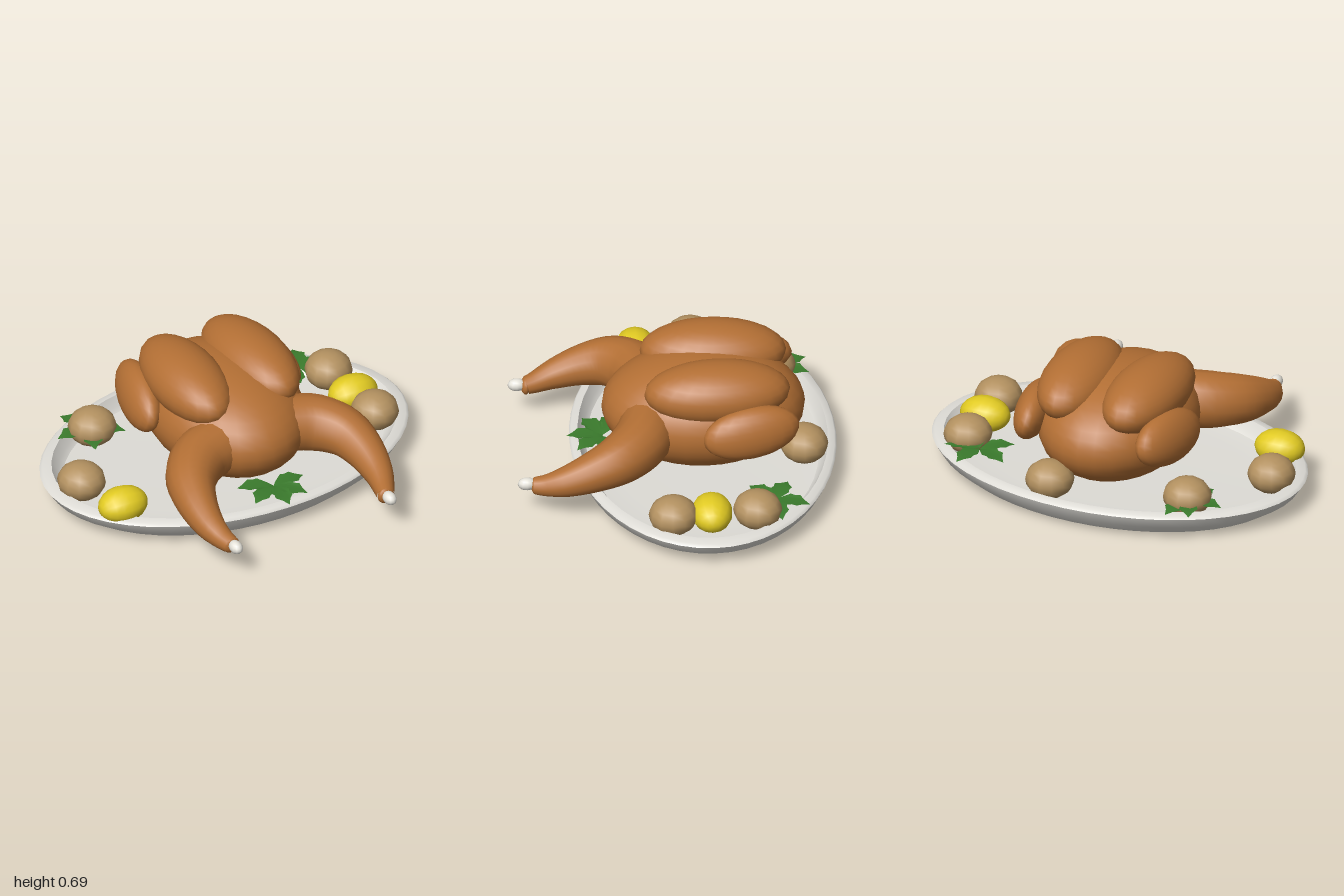
import * as THREE from 'three';

const paint = (name, color, side = THREE.FrontSide) => {
  const m = new THREE.MeshStandardMaterial({ color, side });
  m.name = name;
  return m;
};

export function createModel() {
  const skin = paint('roast skin', 0xb36f34);
  const china = paint('china', 0xdedcd6, THREE.DoubleSide);
  const potatoSkin = paint('potato', 0xb39160);
  const lemonSkin = paint('lemon', 0xe2cb22);
  const leafGreen = paint('herb green', 0x3a7a2c, THREE.DoubleSide);
  const boneWhite = paint('bone', 0xeeebe2);

  const model = new THREE.Group();
  model.name = 'roastOnPlatter';

  const add = (name, geometry, material, parent = model) => {
    const mesh = new THREE.Mesh(geometry, material);
    mesh.name = name;
    parent.add(mesh);
    return mesh;
  };
  const ellipsoid = (name, material, pos, radii, rot = [0, 0, 0], w = 20, h = 14) => {
    const mesh = add(name, new THREE.SphereGeometry(1, w, h), material);
    mesh.position.set(...pos);
    mesh.scale.set(...radii);
    mesh.rotation.set(...rot);
    return mesh;
  };

  // Oval platter: each band is its own lathe so the rim edges stay crisp
  const platter = new THREE.Group();
  platter.name = 'platter';
  platter.position.z = -0.145;
  platter.scale.z = 0.675;
  model.add(platter);
  const bands = {
    platterOutside: [[0, 0], [0.84, 0], [0.87, 0.01], [0.96, 0.07], [1, 0.13]],
    platterRim: [[1, 0.13], [0.985, 0.145], [0.935, 0.15]],
    platterWall: [[0.935, 0.15], [0.9, 0.1], [0.87, 0.08]],
    platterFloor: [[0.87, 0.08], [0.7, 0.07], [0, 0.07]],
  };
  for (const [name, pts] of Object.entries(bands)) {
    add(name, new THREE.LatheGeometry(pts.map(p => new THREE.Vector2(...p)), 48), china, platter);
  }

  // Body
  ellipsoid('body', skin, [0, 0.34, -0.147], [0.39, 0.28, 0.515], [0, 0, 0], 28, 20);

  // Drumstick: a tube whose rings are rescaled to a taper
  const taper = [[0, 0.145], [0.23, 0.148], [0.41, 0.132], [0.59, 0.108], [0.79, 0.08], [0.93, 0.056], [1, 0.046]];
  const radiusAt = u => {
    const i = Math.max(1, taper.findIndex(t => t[0] >= u));
    const [a, ra] = taper[i - 1], [b, rb] = taper[i];
    return THREE.MathUtils.mapLinear(u, a, b, ra, rb);
  };
  const drumstick = side => {
    const path = [
      [0.16, 0.35, 0.13], [0.33, 0.337, 0.19], [0.44, 0.31, 0.3], [0.482, 0.268, 0.43],
      [0.486, 0.213, 0.58], [0.463, 0.18, 0.68], [0.449, 0.172, 0.725],
    ];
    const curve = new THREE.CatmullRomCurve3(path.map(([x, y, z]) => new THREE.Vector3(x * side, y, z)));
    const rings = 20, sides = 16;
    const geo = new THREE.TubeGeometry(curve, rings, 1, sides);
    const pos = geo.attributes.position, v = new THREE.Vector3();
    for (let i = 0; i <= rings; i++) {
      const centre = curve.getPointAt(i / rings), r = radiusAt(Math.min(1, i / rings));
      for (let j = 0; j <= sides; j++) {
        const k = i * (sides + 1) + j;
        v.fromBufferAttribute(pos, k).sub(centre).multiplyScalar(r).add(centre);
        pos.setXYZ(k, v.x, v.y, v.z);
      }
    }
    return geo;
  };

  for (const side of [1, -1]) {
    const s = side > 0 ? 'left' : 'right';
    ellipsoid(s + 'Breast', skin, [0.188 * side, 0.535, -0.207], [0.187, 0.155, 0.37], [0, 0.04 * side, 0], 24, 16);
    ellipsoid(s + 'Wing', skin, [0.37 * side, 0.4, -0.37], [0.092, 0.137, 0.25], [0.08, 0.2 * side, 0.2 * side]);
    add(s + 'Drumstick', drumstick(side), skin);
    ellipsoid(s + 'DrumstickEnd', skin, [0.449 * side, 0.172, 0.725], [0.046, 0.045, 0.025], [0, 0, 0], 14, 10);
    ellipsoid(s + 'Bone', boneWhite, [0.445 * side, 0.182, 0.77], [0.033, 0.033, 0.047], [0, 0, 0], 12, 8);
  }

  // Potatoes
  [[-0.55, -0.525], [0.158, -0.648], [0.737, -0.38], [0.765, 0.048], [-0.835, -0.128]].forEach(([x, z], i) =>
    ellipsoid('potato' + (i + 1), potatoSkin, [x, 0.182, z], [0.125, 0.098, 0.122], [0, i * 0.5, 0], 12, 10));

  // Lemons, with the long axis across the platter
  [[0.748, -0.148], [-0.752, 0.152]].forEach(([x, z], i) =>
    ellipsoid('lemon' + (i + 1), lemonSkin, [x, 0.178, z], [0.105, 0.132, 0.092], [0, 0, Math.PI / 2], 14, 10)
      .scale.set(0.09, 0.132, 0.105));

  // Herb leaf: toothed outline lying flat, folded up along the midrib
  const half = [[0.03, 0.022], [0.075, 0.05], [0.1, 0.042], [0.125, 0.048], [0.15, 0.022]];
  const leafShape = new THREE.Shape([[0, 0], ...half, [0.185, 0],
    ...half.slice().reverse().map(([x, y]) => [x, -y])].map(p => new THREE.Vector2(...p)));
  const leafGeo = new THREE.ShapeGeometry(leafShape).rotateX(-Math.PI / 2);
  const lp = leafGeo.attributes.position;
  for (let i = 0; i < lp.count; i++) lp.setY(i, 0.012 * Math.sin(lp.getX(i) * 17) + 0.12 * Math.abs(lp.getZ(i)));
  leafGeo.computeVertexNormals();

  // Sprigs: fans of leaves, angles in degrees from +x towards +z
  const sprigs = [
    [0, 0.36, [-5, 48, 92, 148, 200]],
    [0.63, -0.47, [205, 140, 285, 350, 60]],
    [-0.56, -0.535, [-75, 110, 180, 35, 245]],
  ];
  sprigs.forEach(([x, z, angles], n) => {
    const sprig = new THREE.Group();
    sprig.name = 'herbSprig' + (n + 1);
    sprig.position.set(x, 0.155, z);
    angles.forEach((a, i) => {
      const leaf = add('leaf' + (i + 1), leafGeo, leafGreen, sprig);
      leaf.rotation.y = -a * Math.PI / 180;
      leaf.position.y = i * 0.002;
    });
    model.add(sprig);
  });

  return model;
}
